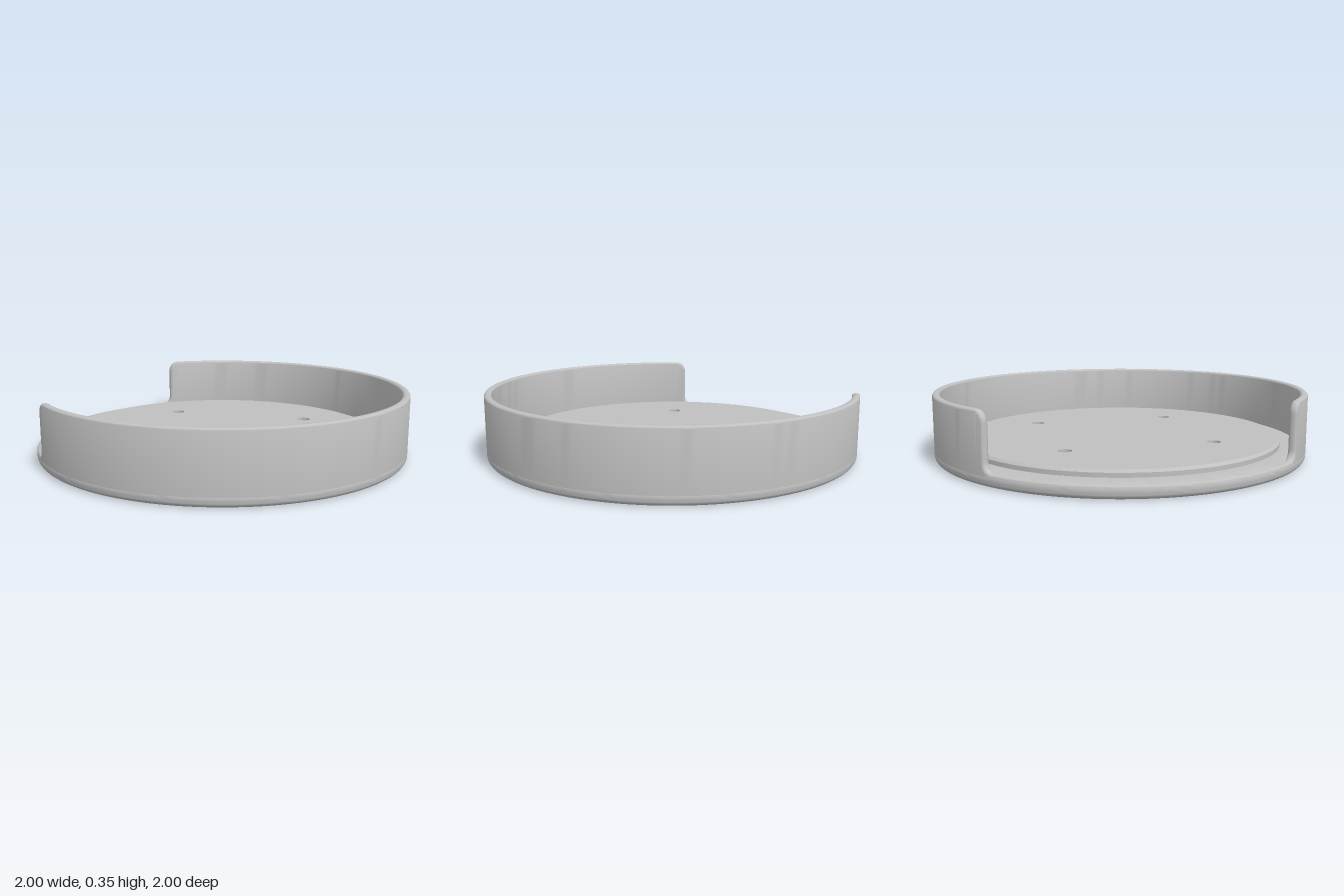
import * as THREE from 'three';
import { toCreasedNormals } from 'three/addons/utils/BufferGeometryUtils.js';

const SEG = 144;
const FLOOR = 0.065, TOP = 0.35, PLATE = 0.1;   // heights
const INNER = 0.96, EDGE = 0.015;               // wall inner radius, rim rounding
const HOLE = 0.393;                             // screw hole offset

const grey = new THREE.MeshStandardMaterial({ color: 0xc0c0c0 });
grey.name = 'grey plastic';

function part(name, geometry) {
  const mesh = new THREE.Mesh(toCreasedNormals(geometry, 0.6), grey);
  mesh.name = name;
  return mesh;
}

function lathe(points, segments) {
  return new THREE.LatheGeometry(points.map(p => new THREE.Vector2(p[0], p[1])), segments);
}

// Quarter arc sampled as angles from 0 to 90 degrees
function quarter(n) {
  return Array.from({ length: n + 1 }, (_, i) => (i / n) * Math.PI / 2);
}

// Flat disc with the four screw holes
function holedDisc(radius, holeRadius) {
  const shape = new THREE.Shape().absarc(0, 0, radius, 0, Math.PI * 2);
  for (const x of [-HOLE, HOLE]) for (const y of [-HOLE, HOLE]) {
    shape.holes.push(new THREE.Path().absarc(x, y, holeRadius, 0, Math.PI * 2, true));
  }
  return new THREE.ShapeGeometry(shape, SEG / 2);
}

// Top line of the wall at one end: fillet up from the floor, then a rounded corner.
// Each entry is [arc position, height, normal along arc, normal up].
function wallEnd(s) {
  const f = 0.05, c = 0.06;
  return [
    ...quarter(8).map(t => [s - f + f * Math.sin(t), FLOOR + f - f * Math.cos(t), -Math.sin(t), Math.cos(t)]),
    ...quarter(8).map(t => [s + c - c * Math.cos(t), TOP - c + c * Math.sin(t), -Math.cos(t), Math.sin(t)]),
  ];
}

// Raised wall: a rounded section swept around the open ring
function wallGeometry() {
  const rad = Math.PI / 180;
  const first = wallEnd(41.4 * rad);
  const last = wallEnd(53.4 * rad).reverse().map(([s, h, a, b]) => [Math.PI * 2 - s, h, -a, b]);
  const path = [...first];
  const s0 = first[first.length - 1][0], s1 = last[0][0];
  for (let i = 1; i < 110; i++) path.push([s0 + (s1 - s0) * i / 110, TOP, 0, 1]);
  path.push(...last);

  // Rim section as [radius, inset below the top line]
  const arc = quarter(5);
  const rim = [
    ...arc.map(t => [1 - EDGE + EDGE * Math.cos(t), EDGE - EDGE * Math.sin(t)]),
    ...arc.map(t => [INNER + EDGE - EDGE * Math.sin(t), EDGE - EDGE * Math.cos(t)]),
  ];
  const rows = rim.length + 2;
  const pos = [], index = [];
  for (const [s, h, ns, nh] of path) {
    const put = (r, y, a) => pos.push(-r * Math.cos(a), y, r * Math.sin(a));
    const sIn = s - ns * EDGE;
    put(1, FLOOR - EDGE, sIn);
    for (const [r, inset] of rim) put(r, h - nh * inset, s - ns * inset);
    put(INNER, FLOOR - EDGE, sIn);
  }
  for (let j = 0; j < path.length - 1; j++) {
    for (let k = 0; k < rows - 1; k++) {
      const a = j * rows + k, b = a + rows;
      index.push(a, b, b + 1, a, b + 1, a + 1);
    }
  }
  const g = new THREE.BufferGeometry();
  g.setAttribute('position', new THREE.Float32BufferAttribute(pos, 3));
  g.setIndex(index);
  return g;
}

export function createModel() {
  const group = new THREE.Group();
  group.name = 'round holder';

  // Base rim: rounded bottom edge, outer side, ledge and the step of the raised plate
  const b = 0.03;
  group.add(part('baseRim', lathe([
    ...quarter(6).map(t => [1 - b + b * Math.sin(t), b - b * Math.cos(t)]),
    ...quarter(5).map(t => [1 - EDGE + EDGE * Math.cos(t), FLOOR - EDGE + EDGE * Math.sin(t)]),
    [0.868, FLOOR], [0.868, 0.087], [0.855, PLATE],
  ], SEG)));

  // Raised plate and underside
  const plate = part('raisedPlate', holedDisc(0.855, 0.036));
  plate.rotation.x = -Math.PI / 2;
  plate.position.y = PLATE;
  const underside = part('underside', holedDisc(1 - b, 0.08));
  underside.rotation.x = Math.PI / 2;
  group.add(plate, underside);

  // Countersunk screw holes
  for (const x of [-HOLE, HOLE]) for (const z of [-HOLE, HOLE]) {
    const hole = part('screwHole', lathe(
      [[0.036, PLATE], [0.036, 0.055], [0.056, 0.055], [0.056, 0.028], [0.08, 0]], SEG / 2));
    hole.position.set(x, 0, z);
    group.add(hole);
  }

  group.add(part('wall', wallGeometry()));
  return group;
}
